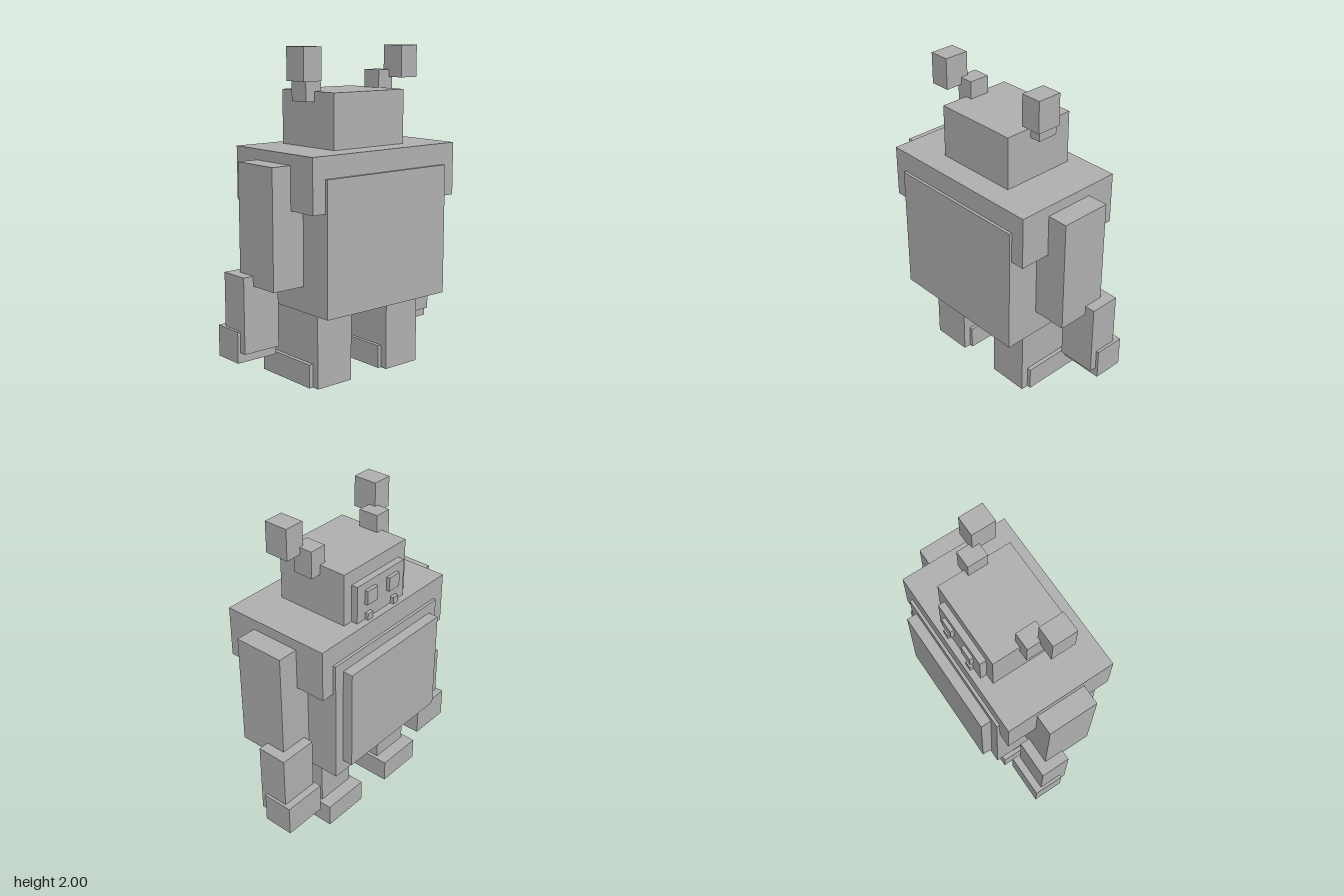
import * as THREE from 'three';

export function createModel() {
  const model = new THREE.Group();
  model.name = 'blockyRobot';
  const grey = new THREE.MeshStandardMaterial({ color: 0xb0b0b0 });
  grey.name = 'plain grey';

  // Box given by its extents along x, y and z
  function block(name, [x0, x1], [y0, y1], [z0, z1]) {
    const mesh = new THREE.Mesh(new THREE.BoxGeometry(x1 - x0, y1 - y0, z1 - z0), grey);
    mesh.position.set((x0 + x1) / 2, (y0 + y1) / 2, (z0 + z1) / 2);
    mesh.name = name;
    model.add(mesh);
  }

  // The same box on both sides
  function pair(name, [x0, x1], y, z) {
    block('left' + name, [x0, x1], y, z);
    block('right' + name, [-x1, -x0], y, z);
  }

  // Torso
  block('body', [-0.47, 0.467], [0.475, 1.28], [-0.345, 0.412]);
  block('shoulders', [-0.559, 0.555], [1.085, 1.41], [-0.326, 0.394]);
  block('bellyPlate', [-0.405, 0.402], [0.56, 1.215], [-0.411, -0.34]);

  // Head, with its face towards -z
  block('head', [-0.276, 0.272], [1.4, 1.74], [-0.241, 0.242]);
  block('facePlate', [-0.211, 0.208], [1.41, 1.65], [-0.283, -0.235]);
  pair('Eye', [0.053, 0.143], [1.513, 1.602], [-0.306, -0.28]);
  pair('Tooth', [0.093, 0.138], [1.41, 1.453], [-0.306, -0.28]);

  // Antennae
  pair('AntennaStem', [0.23, 0.342], [1.68, 1.85], [-0.065, 0.067]);
  pair('AntennaTip', [0.315, 0.445], [1.805, 2], [0.02, 0.177]);

  // Arms
  pair('UpperArm', [0.45, 0.687], [0.63, 1.345], [-0.13, 0.196]);
  pair('Forearm', [0.508, 0.754], [0.23, 0.69], [-0.194, 0]);
  pair('Hand', [0.495, 0.772], [0.168, 0.36], [-0.241, -0.045]);

  // Legs
  pair('Leg', [0.144, 0.405], [0, 0.5], [-0.175, 0.242]);
  pair('Foot', [0.121, 0.431], [0, 0.145], [-0.26, 0.196]);

  return model;
}
